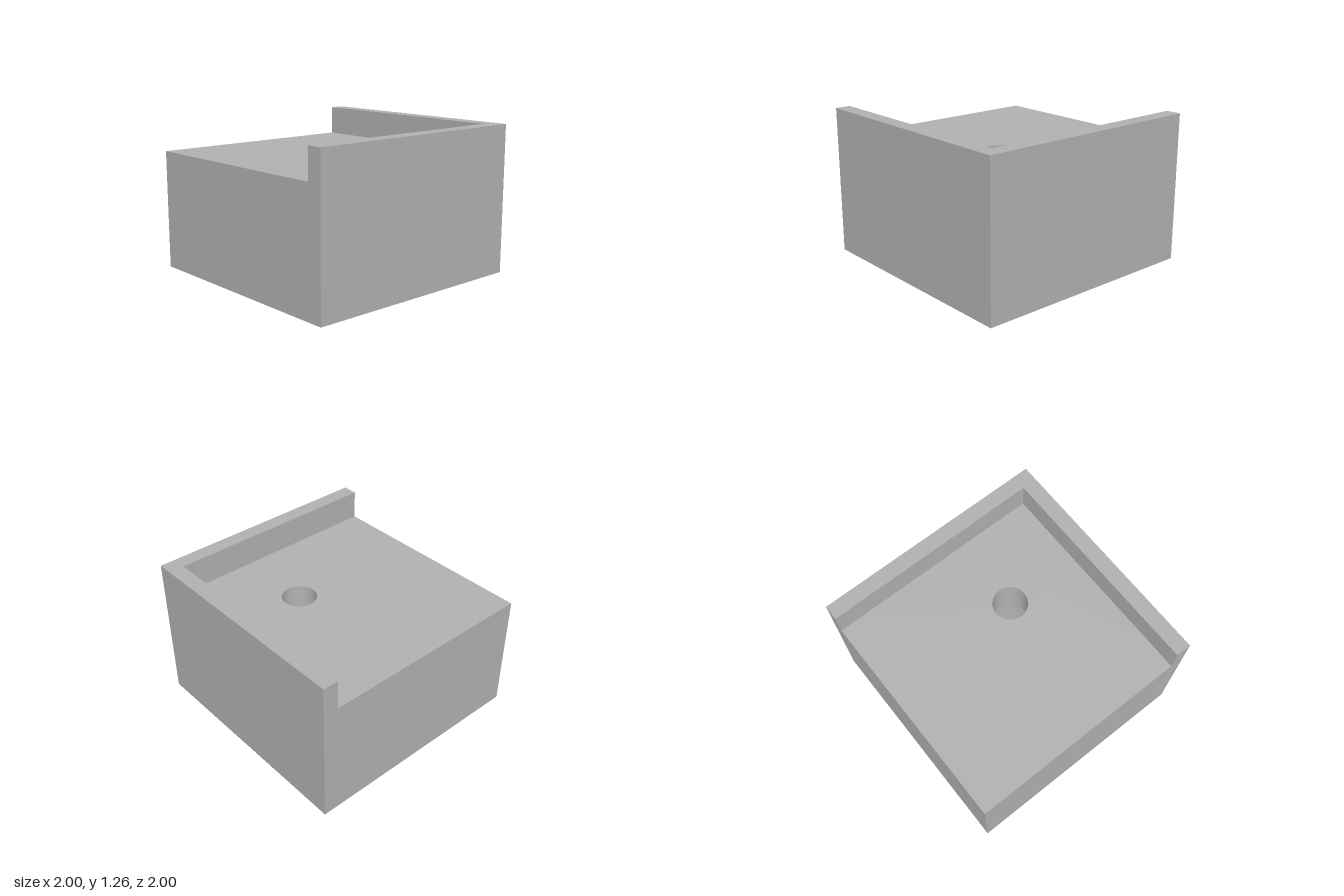
import * as THREE from 'three';

const HEIGHT = 1.26;      // overall height
const DECK = 1.01;        // top of the solid block
const LIP = 0.87;         // inner face of the raised rim
const HOLE = { x: 0.21, z: -0.215, r: 0.144, bore: 0.27, ledge: 0.67 };

// Extrudes a plan outline of [x, z] points upwards from y0 to y1
function slab(points, y0, y1, hole) {
  const shape = new THREE.Shape(points.map(([x, z]) => new THREE.Vector2(x, -z)));
  if (hole) {
    const path = new THREE.Path();
    path.absarc(hole.x, -hole.z, hole.bore, 0, Math.PI * 2, true);
    shape.holes.push(path);
  }
  const geometry = new THREE.ExtrudeGeometry(shape, {
    depth: y1 - y0, bevelEnabled: false, curveSegments: 64,
  });
  return geometry.rotateX(-Math.PI / 2).translate(0, y0, 0);
}

export function createModel() {
  const model = new THREE.Group();
  model.name = 'cornerBlock';
  const grey = new THREE.MeshStandardMaterial({ color: 0xb2b2b2 });
  grey.name = 'grey';

  const add = (name, geometry) => {
    const mesh = new THREE.Mesh(geometry, grey);
    mesh.name = name;
    model.add(mesh);
    return mesh;
  };

  // Square block with the wide bore that opens underneath
  add('block', slab([[-1, 1], [1, 1], [1, -1], [-1, -1]], 0, DECK, HOLE));

  // Collar that narrows the bore to the small hole in the deck
  const { r, bore, ledge } = HOLE;
  const section = [[r, ledge], [bore, ledge], [bore, DECK], [r, DECK]];
  section.forEach((p, i) => {
    const q = section[(i + 1) % 4];
    if (i === 1) return; // this side is hidden against the block
    const names = ['boreLedge', '', 'deckRing', 'holeWall'];
    const line = [p, q].map(([x, y]) => new THREE.Vector2(x, y));
    add(names[i], new THREE.LatheGeometry(line, 64)).position.set(HOLE.x, 0, HOLE.z);
  });

  // Raised L-shaped rim along the back and the left side
  add('rim', slab(
    [[-1, -LIP], [LIP, -LIP], [LIP, 1], [1, 1], [1, -1], [-1, -1]], DECK, HEIGHT));

  return model;
}
